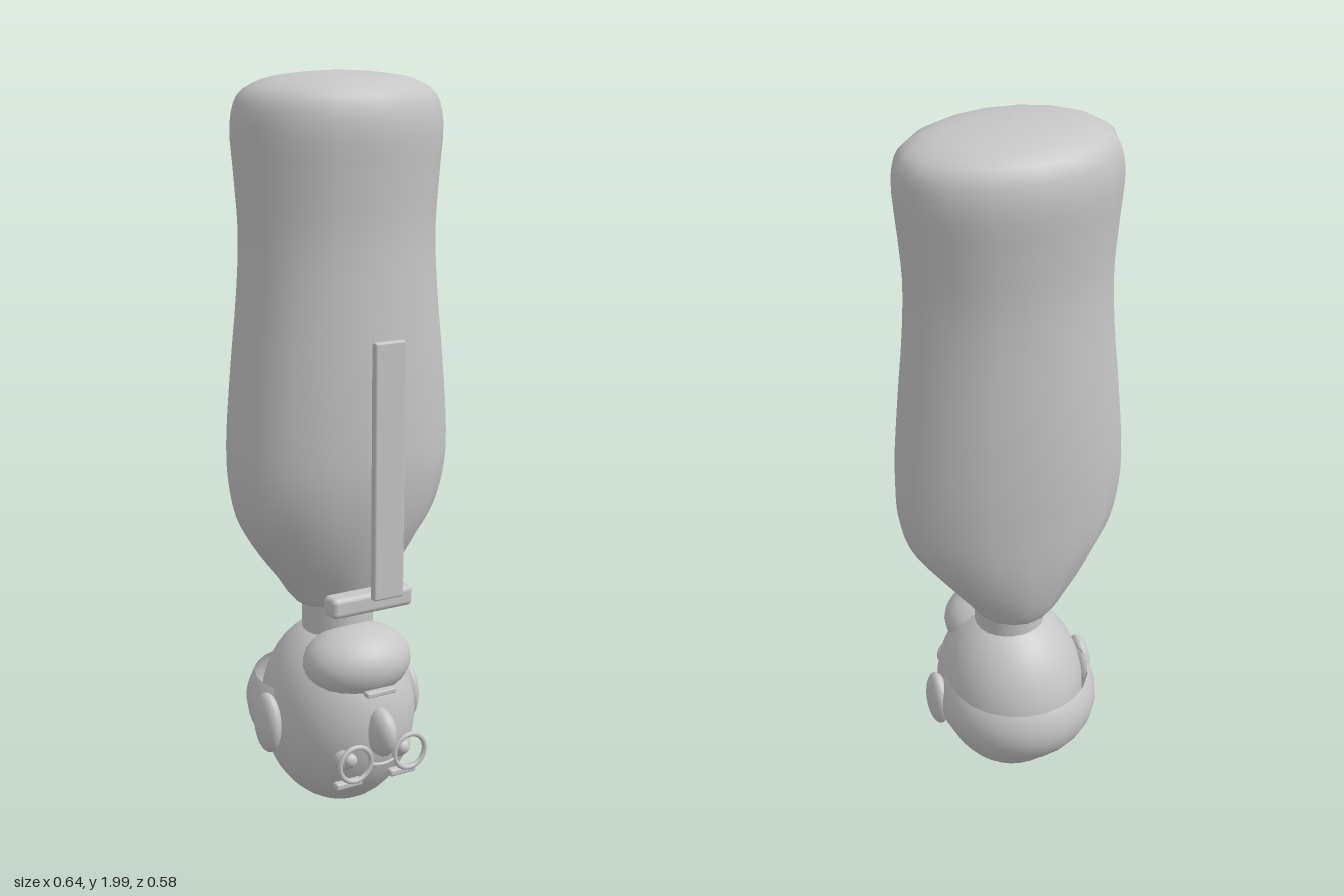
import * as THREE from 'three';
import { mergeVertices } from 'three/addons/utils/BufferGeometryUtils.js';
import { RoundedBoxGeometry } from 'three/addons/geometries/RoundedBoxGeometry.js';

const grey = new THREE.MeshStandardMaterial({ color: 0xc6c6c6, side: THREE.DoubleSide });
grey.name = 'light grey';

export function createModel() {
  const model = new THREE.Group();
  model.name = 'invertedFigure';

  const add = (name, geometry, x = 0, y = 0, z = 0) => {
    const mesh = new THREE.Mesh(geometry, grey);
    mesh.name = name;
    mesh.position.set(x, y, z);
    model.add(mesh);
    return mesh;
  };
  const ellipsoid = (rx, ry, rz, w = 24, h = 18) =>
    new THREE.SphereGeometry(1, w, h).scale(rx, ry, rz);
  const block = (w, h, d, r) => new RoundedBoxGeometry(w, h, d, 2, r);

  // Body: oval cross-sections (half width, height, half depth), leaning back near the neck
  const sections = [
    [0.001, 0.565, 0.001], [0.07, 0.572, 0.08], [0.112, 0.592, 0.116], [0.155, 0.65, 0.143],
    [0.235, 0.75, 0.17], [0.29, 0.84, 0.186], [0.316, 0.95, 0.198], [0.319, 1.05, 0.203],
    [0.302, 1.25, 0.203], [0.281, 1.45, 0.196], [0.274, 1.6, 0.193], [0.284, 1.75, 0.201],
    [0.291, 1.87, 0.207], [0.272, 1.94, 0.189], [0.21, 1.977, 0.144], [0.11, 1.994, 0.077],
    [0.001, 2, 0.001],
  ].map((s) => new THREE.Vector3(...s));
  const rows = new THREE.CatmullRomCurve3(sections).getPoints(48);
  rows.forEach((r) => { r.x = Math.max(r.x, 0.001); r.y = Math.min(r.y, 2); });
  let body = new THREE.LatheGeometry(rows.map((r) => new THREE.Vector2(r.x, r.y)), 16);
  const pos = body.attributes.position;
  for (let i = 0; i < pos.count; i++) {
    const r = rows[i % rows.length];
    const lean = -0.03 * (1 - THREE.MathUtils.smoothstep(r.y, 0.55, 1));
    pos.setZ(i, pos.getZ(i) / r.x * r.z + lean);
  }
  body.deleteAttribute('uv');
  body.deleteAttribute('normal');
  body = mergeVertices(body);
  body.computeVertexNormals();
  add('body', body);

  // Neck, tie and collar knot
  add('neck', new THREE.CylinderGeometry(0.098, 0.098, 0.13, 24), 0, 0.545, -0.003);
  add('tie', block(0.09, 0.678, 0.022, 0.006), 0, 1.006, 0.252);
  add('collarKnot', block(0.248, 0.056, 0.06, 0.015), 0, 0.633, 0.16);

  // Head with beard, mouth and nose
  add('head', ellipsoid(0.21, 0.268, 0.229, 32, 24), 0, 0.274, -0.004);
  add('beard', ellipsoid(0.155, 0.1, 0.126), 0, 0.445, 0.1);
  add('mouth', block(0.09, 0.014, 0.024, 0.004), 0, 0.393, 0.222);
  add('nose', ellipsoid(0.036, 0.067, 0.062), 0, 0.28, 0.225);

  // Hair: open bowl around the back of the head
  const hair = new THREE.SphereGeometry(1, 24, 16, 0, Math.PI * 2, 0, Math.PI * 0.6465);
  hair.rotateX(Math.PI).scale(0.228, 0.18, 0.231);
  add('hair', hair, 0, 0.28, -0.06);

  // Paired features
  for (const [side, s] of [['left', 1], ['right', -1]]) {
    add(side + 'Ear', ellipsoid(0.03, 0.085, 0.058), s * 0.222, 0.27, 0);
    add(side + 'Eye', ellipsoid(0.037, 0.037, 0.03), s * 0.083, 0.208, 0.18);
    add(side + 'Pupil', ellipsoid(0.019, 0.019, 0.015), s * 0.083, 0.208, 0.208);
    add(side + 'Brow', block(0.082, 0.02, 0.024, 0.006), s * 0.085, 0.138, 0.198);
    add(side + 'SpectacleRim', new THREE.TorusGeometry(0.048, 0.007, 8, 28), s * 0.085, 0.21, 0.238);
  }

  // Spectacle bridge
  const bridge = new THREE.QuadraticBezierCurve3(
    new THREE.Vector3(-0.038, 0.2, 0.238), new THREE.Vector3(0, 0.185, 0.24),
    new THREE.Vector3(0.038, 0.2, 0.238));
  add('spectacleBridge', new THREE.TubeGeometry(bridge, 10, 0.005, 8));

  return model;
}
